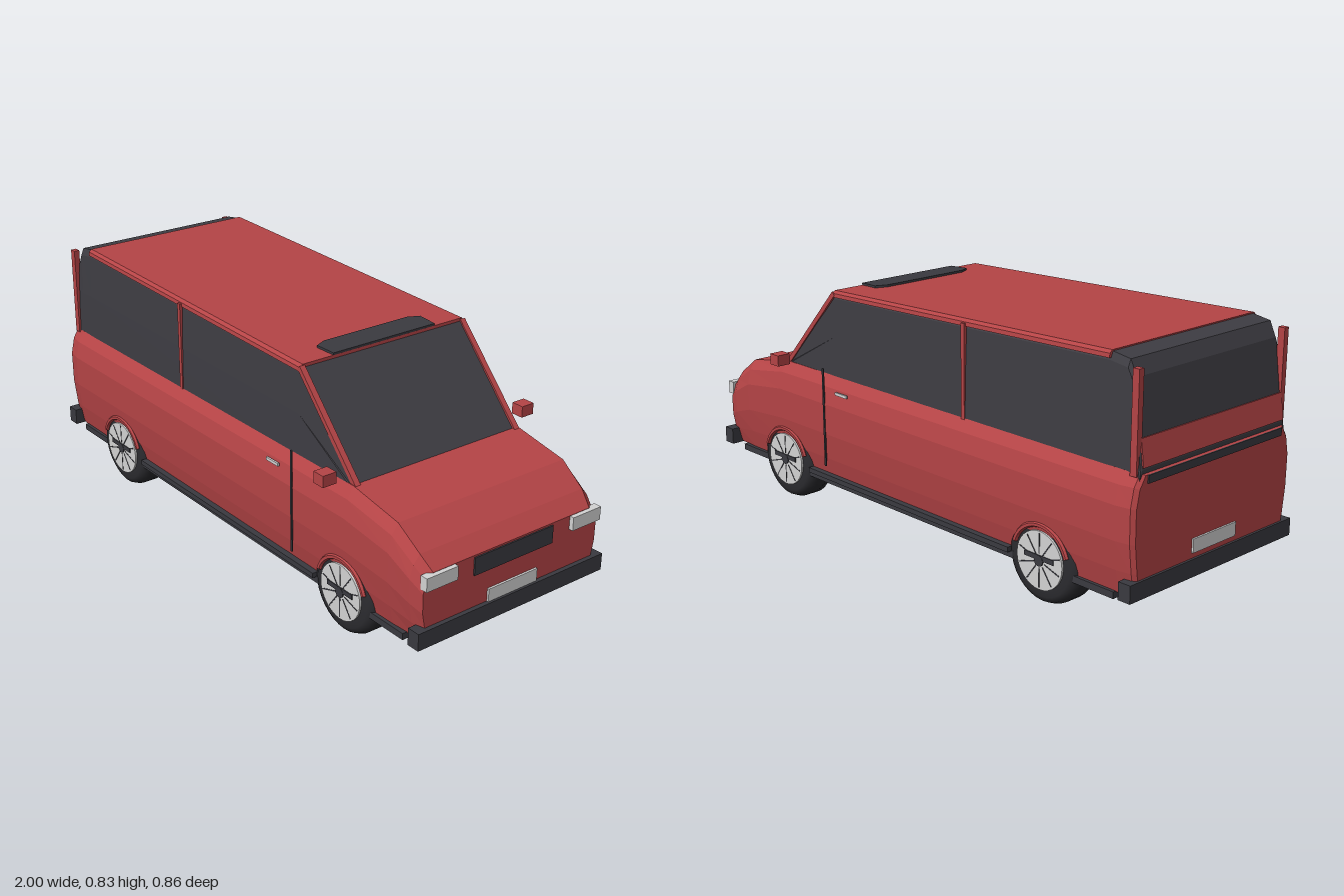
import * as THREE from 'three';

const mat = (name, color, flat = false) => {
  const m = new THREE.MeshStandardMaterial({ color, flatShading: flat });
  m.name = name;
  return m;
};

// Lofts mirrored cross-sections along x. section: [x, base, top, halfWidth]
// profile: [fraction of half width, fraction of height], bottom to top
function loft(sections, profile) {
  const ring = [...profile, ...profile.map(([w, h]) => [-w, h]).reverse()];
  const n = ring.length, pos = [], idx = [];
  for (const [x, base, top, half] of sections)
    for (const [w, h] of ring) pos.push(x, base + h * (top - base), w * half);
  const last = (sections.length - 1) * n;
  for (let i = 0; i < sections.length - 1; i++)
    for (let j = 0; j < n; j++) {
      const a = i * n + j, b = i * n + (j + 1) % n;
      idx.push(a, a + n, b, b, a + n, b + n);
    }
  for (let k = 1; k < n - 1; k++)
    idx.push(0, k, k + 1, last, last + k + 1, last + k);
  const g = new THREE.BufferGeometry();
  g.setAttribute('position', new THREE.Float32BufferAttribute(pos, 3));
  g.setIndex(idx);
  const flat = g.toNonIndexed();
  flat.computeVertexNormals();
  return flat;
}

export function createModel() {
  const van = new THREE.Group();
  van.name = 'van';
  const red = mat('red paint', 0xb54446, true);
  const glass = mat('dark glass', 0x3e3d43, true);
  const trim = mat('dark trim', 0x3a3a40);
  const rubber = mat('tyre rubber', 0x2c2c30);
  const pale = mat('pale grey', 0xd4d4d4);

  const add = (name, geo, material, x = 0, y = 0, z = 0, parent = van) => {
    const m = new THREE.Mesh(geo, material);
    m.name = name;
    m.position.set(x, y, z);
    parent.add(m);
    return m;
  };
  // Box from opposite corners
  const box = (name, material, x0, x1, y0, y1, z0, z1, parent = van) =>
    add(name, new THREE.BoxGeometry(x1 - x0, y1 - y0, Math.abs(z1 - z0)), material,
      (x0 + x1) / 2, (y0 + y1) / 2, (z0 + z1) / 2, parent);
  // Bar between two points of the side plane
  const bar = (name, material, [x0, y0], [x1, y1], thick, width, z) => {
    const m = add(name, new THREE.BoxGeometry(Math.hypot(x1 - x0, y1 - y0), thick, width),
      material, (x0 + x1) / 2, (y0 + y1) / 2, z);
    m.rotation.z = Math.atan2(y1 - y0, x1 - x0);
    return m;
  };

  // Lower body with rounded shoulders and sloping bonnet
  add('body', loft([
    [-0.992, 0.13, 0.495, 0.354], [-0.98, 0.13, 0.5, 0.366], [-0.93, 0.13, 0.5, 0.375],
    [0.65, 0.13, 0.5, 0.375], [0.85, 0.13, 0.463, 0.373], [0.94, 0.13, 0.4, 0.367],
    [0.985, 0.13, 0.356, 0.354],
  ], [[0.93, 0], [0.968, 0.2], [0.998, 0.45], [1, 0.74], [0.965, 0.9], [0.9, 1]]), red);

  // Glasshouse and roof skin
  const cabin = [[1.01, 0], [1, 0.5], [0.985, 0.93], [0.955, 1]];
  add('glasshouse', loft([
    [-0.985, 0.48, 0.51, 0.333], [-0.948, 0.48, 0.77, 0.333], [-0.925, 0.48, 0.818, 0.334],
    [-0.86, 0.48, 0.828, 0.335], [0.38, 0.48, 0.79, 0.335], [0.655, 0.48, 0.49, 0.335],
  ], cabin), glass);
  add('roof', loft([[-0.86, 0.81, 0.832, 0.338], [0.385, 0.773, 0.795, 0.338]],
    [[0.99, 0], [0.985, 0.6], [0.955, 1]]), red);

  // Dark panel at the front of the roof
  const panel = new THREE.Shape([[0.385, -0.205], [0.385, 0.205], [0.31, 0.21], [0.292, 0.17],
    [0.292, -0.17], [0.31, -0.21]].map(([x, y]) => new THREE.Vector2(x, y)));
  const panelGeo = new THREE.ExtrudeGeometry(panel, { depth: 0.008, bevelEnabled: false });
  panelGeo.rotateX(-Math.PI / 2);
  add('roofPanel', panelGeo, trim, 0, 0.806, 0).rotation.z = -0.03;

  // Rear hatch
  bar('hatchPanel', red, [-0.983, 0.515], [-0.971, 0.6], 0.012, 0.65, 0);
  box('hatchTrim', trim, -0.997, -0.99, 0.47, 0.495, -0.31, 0.31);
  box('rearPlate', pale, -0.998, -0.99, 0.2, 0.245, -0.1, 0.1);

  // Nose
  box('grille', trim, 0.98, 0.99, 0.29, 0.35, -0.16, 0.16);
  box('frontPlate', pale, 0.98, 0.992, 0.18, 0.225, -0.1, 0.1);

  // Bumpers and floor
  box('frontBumper', trim, 0.955, 1, 0.125, 0.182, -0.38, 0.38);
  box('rearBumper', trim, -1, -0.955, 0.125, 0.182, -0.38, 0.38);
  box('floor', trim, -0.92, 0.91, 0.11, 0.132, -0.36, 0.36);

  // Parts repeated on both flanks
  for (const s of [1, -1]) {
    box('headlight', pale, 0.973, 1, 0.31, 0.355, s * 0.235, s * 0.355);
    box('sill', trim, -0.5, 0.5, 0.13, 0.147, s * 0.34, s * 0.373);
    box('doorSeam', trim, 0.393, 0.4, 0.18, 0.53, s * 0.373, s * 0.378);
    box('doorHandle', pale, 0.27, 0.33, 0.45, 0.46, s * 0.372, s * 0.379);
    box('mirror', red, 0.577, 0.622, 0.51, 0.548, s * 0.38, s * 0.43);
    box('rearPost', red, -0.977, -0.953, 0.49, 0.803, s * 0.322, s * 0.342);
    box('middlePillar', red, -0.273, -0.258, 0.495, 0.802, s * 0.325, s * 0.341);
    bar('windscreenPillar', red, [0.38, 0.786], [0.652, 0.492], 0.016, 0.02, s * 0.325);
  }

  // Wheels, built facing +z
  const tyreGeo = new THREE.LatheGeometry([[0.09, 0.28], [0.145, 0.28], [0.145, 0.335],
    [0.136, 0.356], [0.118, 0.366], [0.09, 0.366]].map(([r, y]) => new THREE.Vector2(r, y)), 32);
  tyreGeo.rotateX(Math.PI / 2);
  const rimGeo = new THREE.CylinderGeometry(0.094, 0.094, 0.09, 32).rotateX(Math.PI / 2);
  const hubGeo = new THREE.CylinderGeometry(0.018, 0.018, 0.008, 16).rotateX(Math.PI / 2);
  const tyreMat = rubber;
  tyreMat.side = THREE.DoubleSide;
  for (const x of [-0.635, 0.635])
    for (const s of [1, -1]) {
      const wheel = new THREE.Group();
      wheel.name = 'wheel';
      wheel.position.set(x, 0.145, 0);
      wheel.rotation.y = s > 0 ? 0 : Math.PI;
      van.add(wheel);
      add('tyre', tyreGeo, tyreMat, 0, 0, 0, wheel);
      add('rim', rimGeo, pale, 0, 0, 0.328, wheel);
      add('hub', hubGeo, trim, 0, 0, 0.373, wheel);
      box('hubBar', trim, -0.06, 0.06, 0.002, 0.018, 0.371, 0.376, wheel);
      for (let i = 0; i < 10; i++) {
        const a = (i + 0.5) * Math.PI / 5;
        const spoke = add('spokeGap', new THREE.BoxGeometry(0.065, 0.004, 0.004), trim,
          Math.cos(a) * 0.055, Math.sin(a) * 0.055, 0.372, wheel);
        spoke.rotation.z = a;
      }
      // Arch lip over the wheel
      const lip = add('archLip', new THREE.TorusGeometry(0.112, 0.009, 6, 20, Math.PI * 0.8),
        red, 0, 0, 0.368, wheel);
      lip.rotation.z = Math.PI * 0.1;
    }
  return van;
}
